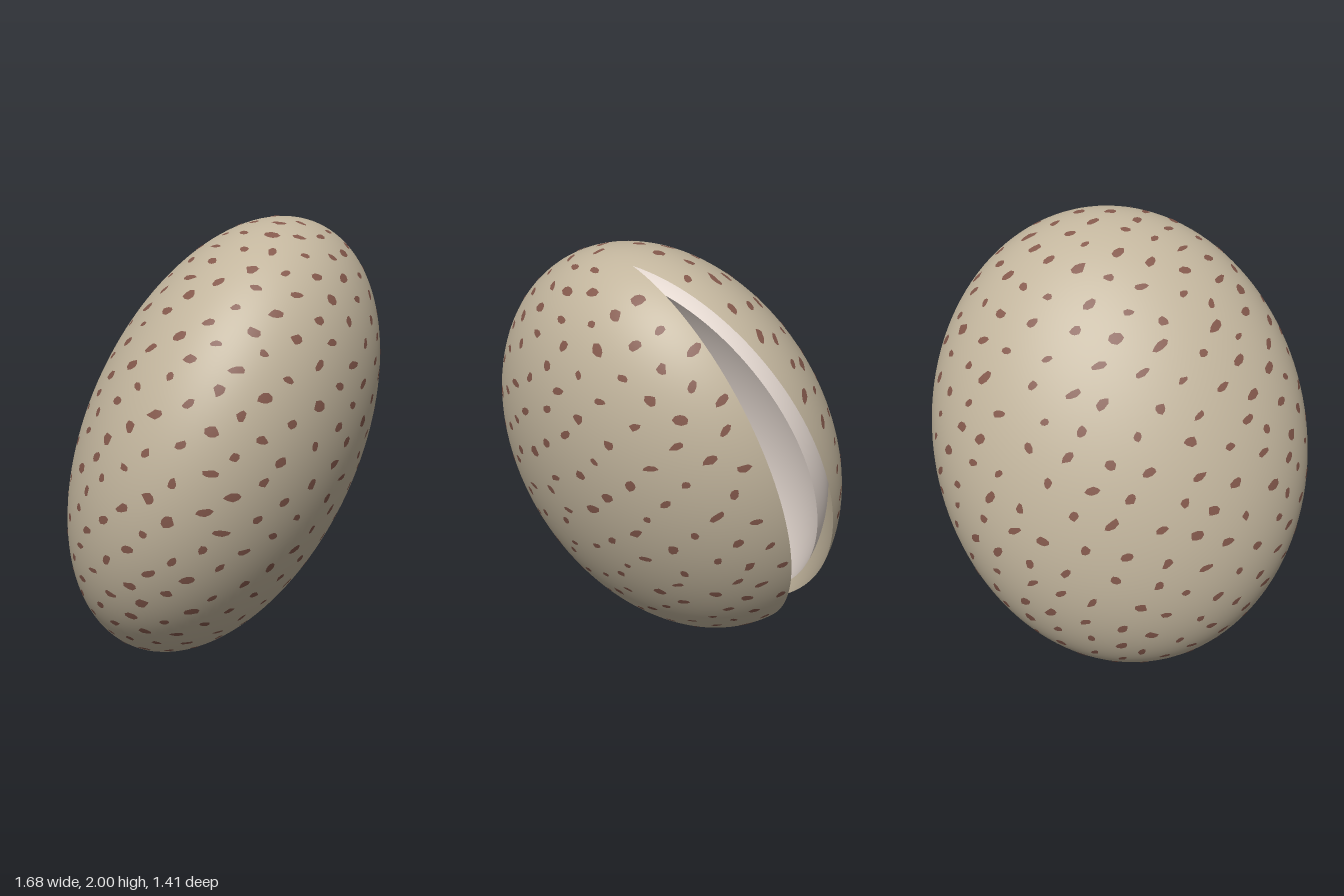
import * as THREE from 'three';
import { mergeGeometries } from 'three/addons/utils/BufferGeometryUtils.js';

const AXES = new THREE.Vector3(0.85, 1.05, 0.61); // half-sizes of the shell
const rad = THREE.MathUtils.degToRad;

// Ellipsoid shell that leaves a pole-to-pole slit open between two angles
function slitShell(name, color, size, from, to) {
  const geo = new THREE.SphereGeometry(1, 128, 64, Math.PI + rad(to), rad(360 - to + from));
  const mesh = new THREE.Mesh(geo, new THREE.MeshStandardMaterial({ color, side: THREE.DoubleSide }));
  mesh.scale.copy(AXES).multiplyScalar(size);
  mesh.name = name;
  return mesh;
}

// Small irregular patches laid closely on the outer shell
function speckles(count, from, to) {
  let seed = 7;
  const rand = () => (seed = (seed * 16807) % 2147483647) / 2147483647;
  const patches = [];
  const n = new THREE.Vector3(), c = new THREE.Vector3(), normal = new THREE.Vector3();
  const east = new THREE.Vector3(), north = new THREE.Vector3(), pt = new THREE.Vector3();
  for (let i = 0; i < count; i++) {
    const y = 0.985 * (1 - 2 * (i + 0.5) / count);
    const a = i * 2.39996 + (rand() - 0.5) * 0.1;
    const r = Math.sqrt(1 - y * y);
    n.set(r * Math.cos(a), y, r * Math.sin(a));
    const angle = THREE.MathUtils.radToDeg(Math.atan2(-n.z, n.x));
    const margin = 3 / r;
    if (angle > from - margin && angle < to + margin) continue;
    c.copy(n).multiply(AXES);
    normal.copy(n).divide(AXES).normalize();
    east.set(0, 1, 0).cross(normal).normalize();
    north.crossVectors(normal, east);
    const w = 0.018 + rand() * 0.014, h = 0.015 + rand() * 0.012, skew = (rand() - 0.2) * 0.9;
    const geo = new THREE.CircleGeometry(1, 8);
    const pos = geo.attributes.position;
    for (let k = 0; k < pos.count; k++) {
      const f = k === pos.count - 1 ? 1 : 0.75 + rand() * 0.4;
      const u = pos.getX(k) * f, v = pos.getY(k) * f;
      pt.copy(c).addScaledVector(east, w * (u + skew * v)).addScaledVector(north, h * v);
      pt.divide(AXES).normalize().multiplyScalar(1.0025);
      pos.setXYZ(k, pt.x, pt.y, pt.z);
      pt.normalize();
      geo.attributes.normal.setXYZ(k, pt.x, pt.y, pt.z);
    }
    // close the ring on its first point
    pos.copyAt(pos.count - 1, pos, 1);
    patches.push(geo);
  }
  const mesh = new THREE.Mesh(mergeGeometries(patches), new THREE.MeshStandardMaterial({ color: 0x84594c }));
  mesh.scale.copy(AXES);
  mesh.name = 'speckles';
  return mesh;
}

export function createModel() {
  // Lean of the shell: long axis up, slit on the wide axis
  const long = new THREE.Vector3(0.281, 0.92, 0.274).normalize();
  const wide = new THREE.Vector3(0.897, -0.123, -0.426);
  wide.addScaledVector(long, -wide.dot(long)).normalize();
  const thin = new THREE.Vector3().crossVectors(wide, long);

  const shell = new THREE.Group();
  shell.name = 'slitShell';
  shell.quaternion.setFromRotationMatrix(new THREE.Matrix4().makeBasis(wide, long, thin));
  shell.position.y = 1;
  shell.add(
    slitShell('outerShell', 0xc2b59d, 1, -17, 8),
    slitShell('innerLining', 0xe6dad2, 0.925, -20, 5.6),
    speckles(460, -17, 8),
  );

  const model = new THREE.Group();
  model.name = 'speckledShell';
  model.add(shell);
  return model;
}
